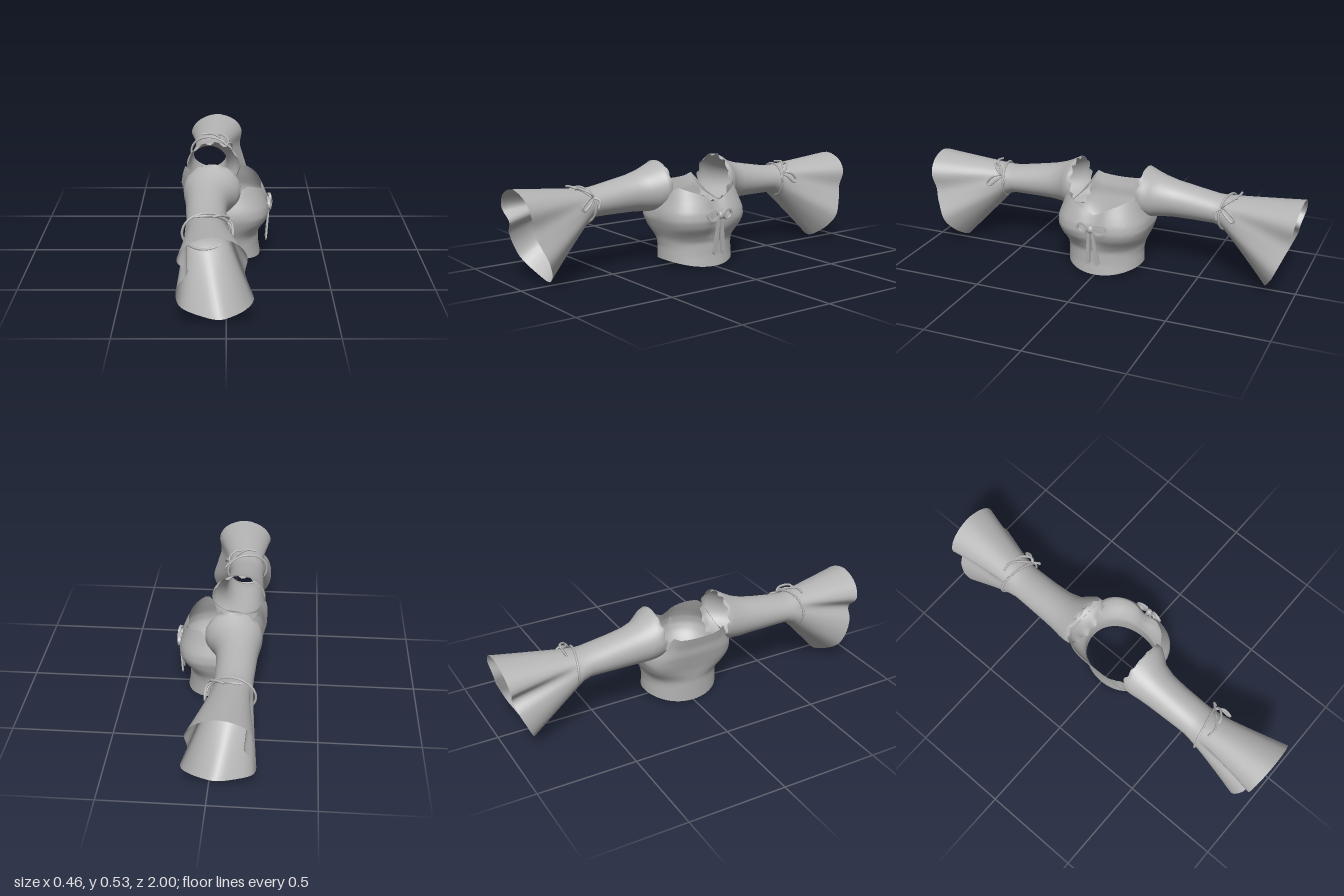
import * as THREE from 'three';

const cloth = new THREE.MeshStandardMaterial({ color: 0xb4b4b4, side: THREE.DoubleSide });
cloth.name = 'greyCloth';

// linear lookup in a list of [key, value] pairs
function look(table, k) {
  if (k <= table[0][0]) return table[0][1];
  for (let i = 1; i < table.length; i++) {
    const [k0, v0] = table[i - 1], [k1, v1] = table[i];
    if (k <= k1) return v0 + (v1 - v0) * (k - k0) / (k1 - k0);
  }
  return table[table.length - 1][1];
}

// closed rings joined into a smooth sheet: point(ring 0..rows, u 0..1)
function loft(name, rows, cols, point) {
  const pos = [], index = [];
  for (let i = 0; i <= rows; i++)
    for (let j = 0; j < cols; j++) pos.push(...point(i, j / cols));
  for (let i = 0; i < rows; i++)
    for (let j = 0; j < cols; j++) {
      const k = (j + 1) % cols, a = i * cols + j, b = i * cols + k;
      index.push(a, a + cols, b, b, a + cols, b + cols);
    }
  const geo = new THREE.BufferGeometry();
  geo.setAttribute('position', new THREE.Float32BufferAttribute(pos, 3));
  geo.setIndex(index);
  geo.computeVertexNormals();
  return named(name, geo);
}

function named(name, geo) {
  const mesh = new THREE.Mesh(geo, cloth);
  mesh.name = name;
  return mesh;
}

function cord(name, points, radius, closed = false) {
  const curve = new THREE.CatmullRomCurve3(points.map(p => new THREE.Vector3(...p)), closed);
  return named(name, new THREE.TubeGeometry(curve, points.length * 6, radius, 6, closed));
}

// bodice profile by height; the chest faces +x
const chest = [[0, .175], [.06, .166], [.13, .163], [.17, .182], [.21, .208], [.25, .22], [.29, .215], [.33, .2], [.37, .182], [.42, .16]];
const back = [[0, .165], [.12, .168], [.2, .182], [.3, .208], [.42, .218]];
const side = [[0, .2], [.1, .197], [.15, .205], [.2, .225], [.25, .24], [.29, .237], [.35, .215], [.42, .195]];
// upper edge by angle from the chest: sweetheart neck, armhole, back neck
const rim = [[0, .335], [.15, .362], [.4, .385], [.7, .402], [1, .415], [1.2, .405], [1.4, .355], [1.57, .305],
  [1.8, .285], [2, .3], [2.2, .325], [2.4, .37], [2.6, .425], [2.85, .408], [3.15, .4]];

function bodice() {
  const rows = 28;
  return loft('bodice', rows, 96, (i, u) => {
    const a = (u - 0.5) * Math.PI * 2, c = Math.cos(a), s = Math.sin(a);
    const low = .005 + .03 * s * s, t = i / rows;
    const y = low + (look(rim, Math.abs(a)) - low) * t;
    const bust = THREE.MathUtils.smoothstep(y, .12, .24);
    const n = 2 / (c > 0 ? 2.1 + .6 * bust : 2.1 + 1.9 * bust);
    const z = look(side, y) * Math.sign(s) * Math.abs(s) ** n;
    let x = (c > 0 ? look(chest, y) : -look(back, y)) * Math.abs(c) ** n;
    // hollow between the cups
    if (c > 0) x -= .022 * bust * Math.exp(-((z / .045) ** 2));
    // gathered back neckline
    if (c < -.8) x -= .01 * Math.max(0, t - .85) / .15 * (1 + Math.sin(a * 48));
    return [x, y, z];
  });
}

// sleeve sections by distance from the middle: [z, bottom, top, back x, front x]
const sections = [[.175, .285, .53, -.205, .065], [.19, .282, .535, -.21, .07], [.21, .28, .525, -.21, .07],
  [.24, .28, .508, -.207, .05], [.28, .281, .49, -.2, .02], [.34, .284, .472, -.194, .005], [.42, .285, .457, -.19, 0],
  [.5, .286, .443, -.186, 0], [.56, .286, .433, -.184, 0], [.6, .272, .432, -.188, .003]];
// fluted outline of the cuff as [x, y], clockwise from the top
const cuff = new THREE.CatmullRomCurve3([[-.06, .475], [.05, .44], [.09, .38], [.08, .3], [.1, .23], [.12, .15],
  [.09, .09], [.03, .04], [-.03, .015], [-.11, .04], [-.2, .1], [-.22, .17], [-.205, .24], [-.165, .3],
  [-.21, .36], [-.175, .43]].map(([x, y]) => new THREE.Vector3(x, y, 0)), true);
const cuffZ = [[.015, .84], [.12, .9], [.25, .955], [.38, .985], [.475, 1]];

function sleeve(m) {
  const n = sections.length, flare = 10;
  return loft('sleeve', n - 1 + flare, 64, (i, u) => {
    const [z, y0, y1, x0, x1] = sections[Math.min(i, n - 1)];
    const a = u * Math.PI * 2;
    const p = new THREE.Vector3((x0 + x1) / 2 + Math.sin(a) * (x1 - x0) / 2,
      (y0 + y1) / 2 + Math.cos(a) * (y1 - y0) / 2, z);
    if (i === 0) { // ruffled shoulder edge
      p.z += .015 * Math.cos(a) + .006 * Math.sin(a * 13);
      p.y += .008 * Math.sin(a * 11);
    }
    if (i >= n) {
      const end = cuff.getPoint(u);
      end.z = look(cuffZ, end.y);
      p.lerp(end, (i - n + 1) / flare);
    }
    return [p.x, p.y, p.z * m];
  });
}

// cord tied round the forearm, with a loop and two tails
function sleeveTie(m) {
  const g = new THREE.Group();
  g.name = 'sleeveTie';
  const ring = [];
  for (let k = 0; k < 16; k++) {
    const a = k / 16 * Math.PI * 2;
    ring.push([-.093 + .108 * Math.sin(a), .352 + .088 * Math.cos(a), m * (.618 - .022 * Math.sin(a))]);
  }
  g.add(cord('tieRing', ring, .006, true));
  g.add(cord('tieLoop', [[0, .4, m * .605], [-.03, .43, m * .63], [-.06, .438, m * .665], [-.03, .445, m * .66], [.01, .42, m * .62]], .006, true));
  g.add(cord('tieLoop', [[0, .4, m * .605], [.025, .4, m * .64], [.03, .36, m * .68], [.03, .345, m * .67], [.022, .38, m * .625]], .006, true));
  g.add(cord('tieTail', [[0, .4, m * .605], [-.04, .432, m * .64], [-.09, .447, m * .672], [-.14, .442, m * .67]], .006));
  g.add(cord('tieTail', [[0, .4, m * .605], [.025, .385, m * .58], [.03, .35, m * .59]], .006));
  return g;
}

// flat ribbon piece lying across the chest
function ribbon(name, shape, depth) {
  const geo = new THREE.ExtrudeGeometry(shape, { depth, bevelEnabled: false, curveSegments: 16 });
  return named(name, geo.rotateY(Math.PI / 2));
}

function chestBow() {
  const g = new THREE.Group();
  g.name = 'chestBow';
  const knot = named('bowKnot', new THREE.SphereGeometry(.02, 16, 10));
  knot.scale.set(.8, 1, .9);
  knot.position.set(.222, .275, 0);
  g.add(knot);
  for (const m of [-1, 1]) {
    const loop = new THREE.Shape().absellipse(0, 0, .034, .029, 0, Math.PI * 2);
    loop.holes.push(new THREE.Path().absellipse(0, 0, .023, .018, 0, Math.PI * 2));
    const l = ribbon('bowLoop', loop, .013);
    l.position.set(.215, .277, m * .044);
    l.rotation.y = -m * .2;
    g.add(l);
    const tail = new THREE.Shape([[-.006, 0], [.006, 0], [.016, -.18], [.002, -.195], [-.012, -.18]]
      .map(([x, y]) => new THREE.Vector2(x, y)));
    const t = ribbon('bowTail', tail, .008);
    t.position.set(.216, .265, m * .008);
    t.rotation.set(-m * .1, 0, -.08);
    g.add(t);
  }
  return g;
}

export function createModel() {
  const model = new THREE.Group();
  model.name = 'croppedTop';
  model.add(bodice(), chestBow());
  for (const m of [-1, 1]) model.add(sleeve(m), sleeveTie(m));
  return model;
}
